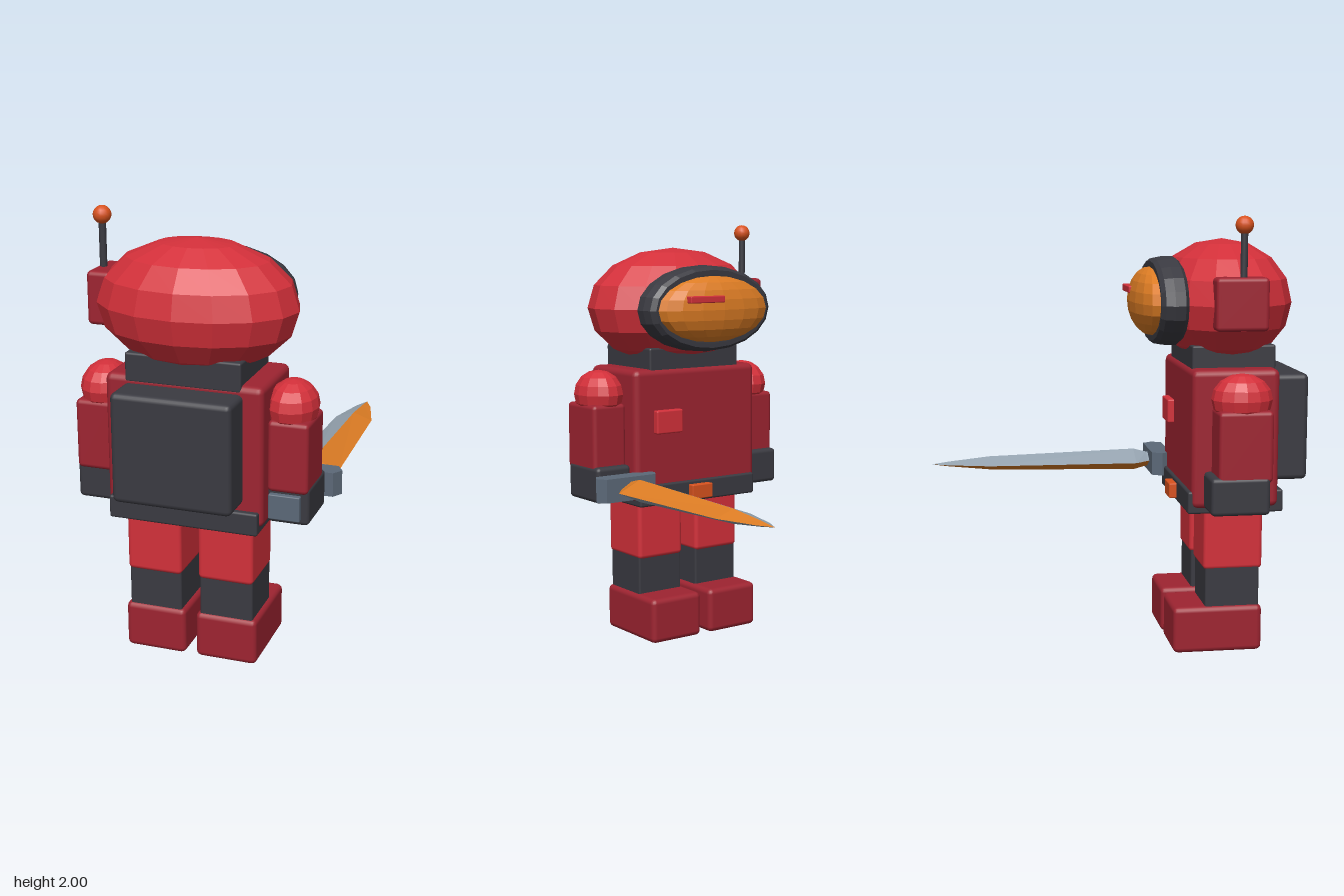
import * as THREE from 'three';
import { RoundedBoxGeometry } from 'three/addons/geometries/RoundedBoxGeometry.js';

const paint = (name, color) => {
  const m = new THREE.MeshStandardMaterial({ color });
  m.name = name;
  return m;
};

export function createModel() {
  const model = new THREE.Group();
  model.name = 'astronaut';

  const red = paint('suitRed', 0xd3303a);
  const darkRed = paint('armourRed', 0x9e2431);
  const dark = paint('charcoal', 0x3a3a41);
  const orange = paint('amber', 0xdc7c24);
  const signal = paint('signalOrange', 0xd8521e);
  const steel = paint('darkSteel', 0x5c6978);
  const silver = paint('bladeSteel', 0x94a2ae);

  const add = (name, geometry, material, x = 0, y = 0, z = 0) => {
    const mesh = new THREE.Mesh(geometry, material);
    mesh.name = name;
    mesh.position.set(x, y, z);
    model.add(mesh);
    return mesh;
  };
  // Faceted copy: every face gets its own normal
  const faceted = (geometry) => {
    const g = geometry.index ? geometry.toNonIndexed() : geometry;
    g.computeVertexNormals();
    return g;
  };
  // Bevelled box given by its limits on each axis
  const box = (name, material, [x0, x1], [y0, y1], [z0, z1], r = 0.02) =>
    add(name, new RoundedBoxGeometry(x1 - x0, y1 - y0, z1 - z0, 2, r), material,
      (x0 + x1) / 2, (y0 + y1) / 2, (z0 + z1) / 2);
  const ball = (name, material, [x, y, z], [rx, ry, rz], w, h) =>
    add(name, faceted(new THREE.SphereGeometry(1, w, h).scale(rx, ry, rz)), material, x, y, z);

  const cx = -0.03; // body centre line
  const wide = (half) => [cx - half, cx + half];

  // Helmet, visor rim and visor
  ball('helmet', red, [cx, 1.605, 0.495], [0.45, 0.285, 0.315], 16, 8);
  const rimProfile = [[0, -0.28], [0.93, -0.28], [1, -0.262], [1, -0.215], [0.965, -0.175], [0.9, -0.157], [0.8, -0.157], [0, -0.17]]
    .map(([r, y]) => new THREE.Vector2(r, y));
  const rim = new THREE.LatheGeometry(rimProfile, 20).rotateX(-Math.PI / 2).scale(0.36, 0.205, 1);
  add('visorRim', faceted(rim), dark, cx, 1.605, 0);
  ball('visor', orange, [cx, 1.605, 0.16], [0.314, 0.157, 0.097], 16, 10);
  box('visorMark', red, [-0.03, 0.165], [1.64, 1.672], [0.06, 0.1], 0.005);

  // Ear unit with antenna
  box('earUnit', darkRed, [-0.495, -0.385], [1.5, 1.735], [0.375, 0.612]);
  add('antennaRod', new THREE.CylinderGeometry(0.016, 0.016, 0.23, 10), dark, -0.46, 1.84, 0.5);
  add('antennaBall', new THREE.SphereGeometry(0.04, 14, 10), signal, -0.46, 1.96, 0.5);

  // Torso
  box('collar', dark, wide(0.26), [1.29, 1.42], [0.31, 0.695], 0.01);
  box('torso', darkRed, wide(0.355), [0.69, 1.32], [0.295, 0.695], 0.03);
  box('belt', dark, wide(0.34), [0.665, 0.768], [0.28, 0.72], 0.01);
  box('buckle', signal, wide(0.06), [0.68, 0.75], [0.245, 0.3], 0.005);
  box('chestPanel', red, [0.07, 0.22], [1.012, 1.125], [0.265, 0.31], 0.008);
  box('backpack', dark, wide(0.268), [0.795, 1.285], [0.66, 0.852], 0.025);

  // Arms and legs, mirrored about the body centre line
  for (const s of [-1, 1]) {
    const side = s > 0 ? 'left' : 'right';
    const arm = cx + s * 0.442, leg = cx + s * 0.167;
    const span = (c, half) => [c - half, c + half];
    ball(side + 'Shoulder', red, [arm - s * 0.012, 1.2, 0.5], [0.113, 0.115, 0.137], 14, 8);
    box(side + 'Arm', darkRed, span(arm, 0.09), [0.84, 1.158], [0.38, 0.625]);
    box(side + 'Glove', dark, span(arm, 0.094), [0.695, 0.866], [0.347, 0.612]);
    box(side + 'Thigh', red, span(leg, 0.127), [0.388, 0.69], [0.365, 0.64]);
    box(side + 'Shin', dark, span(leg, 0.123), [0.19, 0.41], [0.374, 0.627], 0.01);
    box(side + 'Boot', darkRed, span(leg, 0.142), [0, 0.217], [0.225, 0.64], 0.025);
  }

  // Sword hilt
  const sx = 0.397, sy = 0.778;
  box('pommel', steel, [sx - 0.065, sx + 0.075], [sy - 0.058, sy + 0.055], [0.58, 0.637], 0.005);
  box('grip', dark, [sx - 0.04, sx + 0.045], [sy - 0.045, sy + 0.045], [0.29, 0.6], 0.01);
  const guard = new THREE.Shape([[-0.135, -0.047], [0.135, -0.047], [0.164, 0], [0.135, 0.047], [-0.135, 0.047], [-0.164, 0]]
    .map(([x, y]) => new THREE.Vector2(x, y)));
  const guardGeometry = new THREE.ExtrudeGeometry(guard, { depth: 0.112, bevelEnabled: false });
  add('guard', guardGeometry.rotateX(-Math.PI / 2), steel, sx, sy - 0.056, 0.27);

  // Diamond-section blade: [z, half width, half thickness], alternate faces coloured
  const stations = [[0.24, 0.05, 0.032], [0.215, 0.063, 0.036], [0.15, 0.115, 0.053],
    [-0.57, 0.092, 0.033], [-0.77, 0.038, 0.012], [-0.853, 0, 0]];
  const corner = ([z, w, h], i) => [[-w, 0, z], [0, h, z], [w, 0, z], [0, -h, z]][i % 4];
  const bladeFaces = (first) => {
    const p = [];
    for (let k = 0; k < stations.length - 1; k++) {
      for (const i of [first, first + 2]) {
        const a = corner(stations[k], i), b = corner(stations[k], i + 1);
        const c = corner(stations[k + 1], i + 1), d = corner(stations[k + 1], i);
        p.push(...a, ...b, ...d);
        if (k < stations.length - 2) p.push(...b, ...c, ...d);
      }
    }
    const g = new THREE.BufferGeometry();
    g.setAttribute('position', new THREE.Float32BufferAttribute(p, 3));
    g.computeVertexNormals();
    return g;
  };
  add('bladeSteelFaces', bladeFaces(0), silver, sx, sy, 0);
  add('bladeAmberFaces', bladeFaces(1), orange, sx, sy, 0);

  return model;
}
